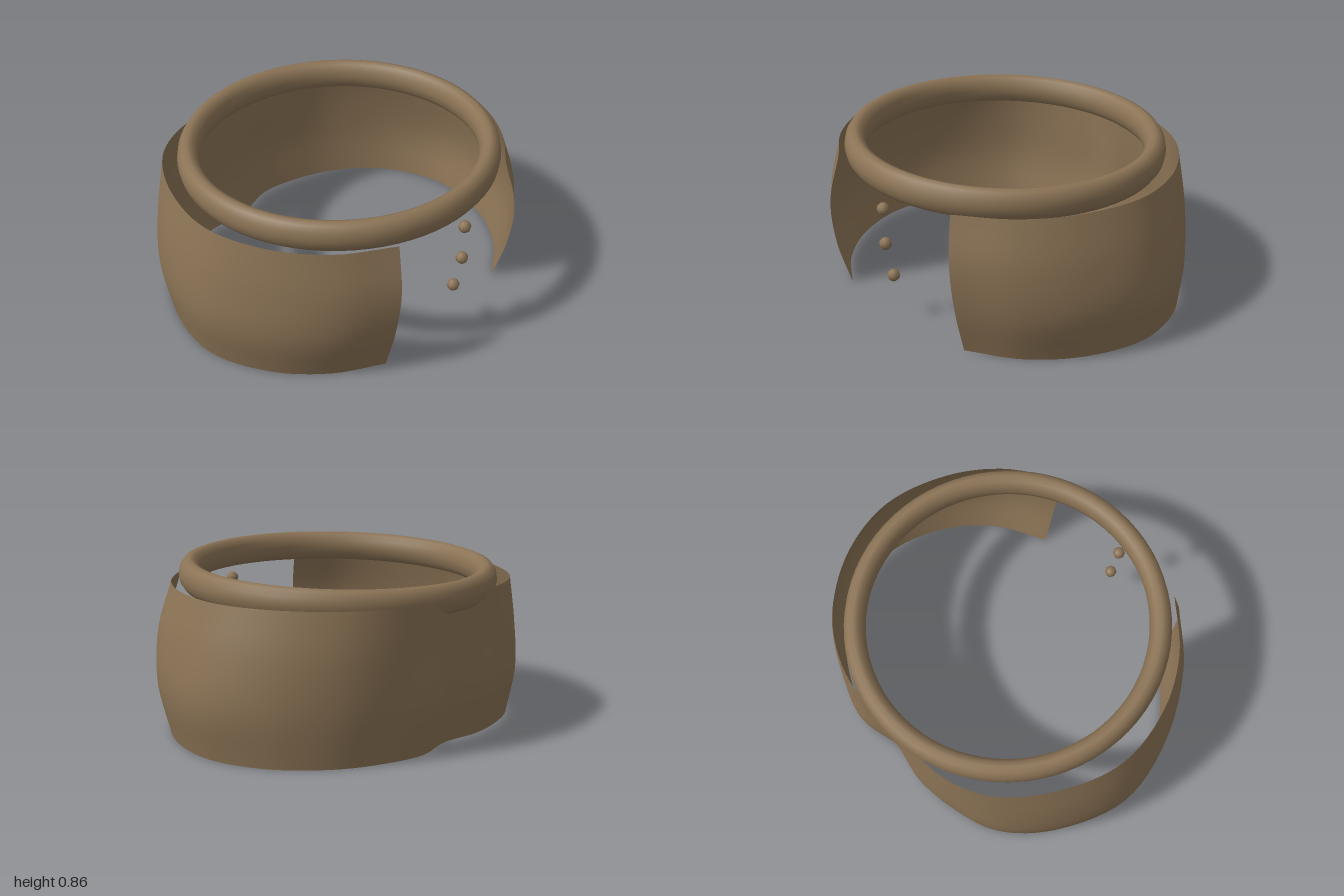
import * as THREE from 'three';

// Cross-sections of the wrap [x, z], from the left front edge around the back to the right front edge
const SECTIONS = [
  { y: 0, pts: [[0.44, 0.67], [0.69, 0.51], [0.87, 0.27], [0.955, -0.05], [0.87, -0.36], [0.67, -0.59], [0.45, -0.71], [0.23, -0.765],
    [0, -0.72], [-0.23, -0.745], [-0.45, -0.71], [-0.66, -0.62], [-0.85, -0.39], [-0.955, -0.05], [-0.87, 0.27], [-0.69, 0.51], [-0.465, 0.67]] },
  { y: 0.25, pts: [[0.46, 0.74], [0.73, 0.56], [0.91, 0.3], [1, -0.05], [0.9, -0.36], [0.68, -0.61], [0.45, -0.74], [0.22, -0.81],
    [0, -0.76], [-0.22, -0.79], [-0.45, -0.755], [-0.68, -0.66], [-0.88, -0.42], [-1, -0.05], [-0.91, 0.3], [-0.73, 0.56], [-0.485, 0.74]] },
  { y: 0.5, pts: [[0.455, 0.765], [0.71, 0.57], [0.88, 0.3], [0.96, -0.05], [0.87, -0.36], [0.67, -0.61], [0.45, -0.74], [0.22, -0.8],
    [0, -0.77], [-0.22, -0.785], [-0.45, -0.755], [-0.67, -0.65], [-0.87, -0.4], [-0.975, -0.05], [-0.89, 0.3], [-0.72, 0.57], [-0.48, 0.765]] },
  { y: 0.74, pts: [[0.415, 0.72], [0.65, 0.53], [0.81, 0.28], [0.885, -0.05], [0.81, -0.35], [0.63, -0.6], [0.44, -0.73], [0.22, -0.795],
    [0, -0.775], [-0.22, -0.78], [-0.44, -0.745], [-0.63, -0.64], [-0.82, -0.38], [-0.918, -0.05], [-0.85, 0.28], [-0.69, 0.53], [-0.45, 0.72]] },
];

// Smooth open sheet lofted through the cross-sections
function wrapGeometry(cols, rows) {
  const rails = SECTIONS.map(({ y, pts }) =>
    new THREE.CatmullRomCurve3(pts.map(([x, z]) => new THREE.Vector3(x, y, z)), false, 'centripetal'));
  const geo = new THREE.PlaneGeometry(1, 1, cols, rows);
  const pos = geo.attributes.position;
  for (let i = 0; i <= cols; i++) {
    const rib = new THREE.CatmullRomCurve3(rails.map((r) => r.getPoint(i / cols)));
    for (let j = 0; j <= rows; j++) {
      const p = rib.getPoint(1 - j / rows);
      pos.setXYZ(j * (cols + 1) + i, p.x, p.y, p.z);
    }
  }
  geo.computeVertexNormals();
  return geo;
}

export function createModel() {
  const model = new THREE.Group();
  const cloth = new THREE.MeshStandardMaterial({ color: 0x8b7355, side: THREE.DoubleSide });
  cloth.name = 'brown cloth';

  const add = (name, geo) => {
    const mesh = new THREE.Mesh(geo, cloth);
    mesh.name = name;
    model.add(mesh);
    return mesh;
  };

  // Body wrap, open at the front
  add('wrap', wrapGeometry(96, 16));

  // Collar ring, taller than wide and raised slightly at the front
  const ring = new THREE.TorusGeometry(0.758, 0.055, 12, 72);
  ring.rotateX(Math.PI / 2).scale(1, 1.42, 1).rotateX(-0.028);
  add('collar', ring).position.set(-0.013, 0.756, -0.005);

  // Buttons down the front opening
  [[0.63, 0.78], [0.44, 0.775], [0.25, 0.735]].forEach(([y, z], i) => {
    add(`button${i + 1}`, new THREE.SphereGeometry(0.032, 8, 6)).position.set(-0.013, y, z);
  });

  return model;
}
